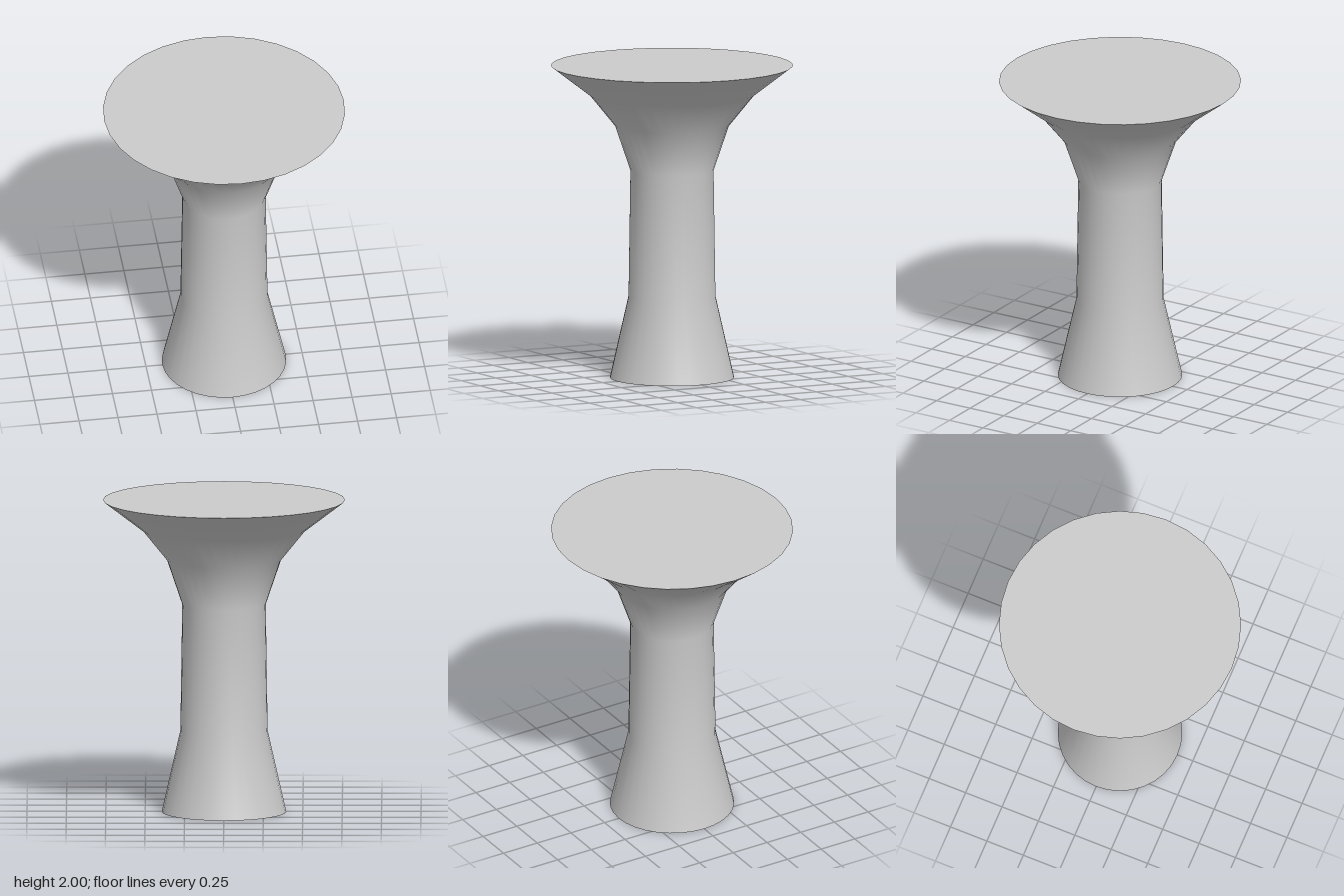
import * as THREE from 'three';

const SIDES = 32;

export function createModel() {
  const group = new THREE.Group();
  group.name = 'pedestal';
  const material = new THREE.MeshStandardMaterial({ color: 0xcccccc, side: THREE.DoubleSide });

  // Flared column, hollow and open at the foot
  const profile = [
    [0.395, 0], [0.277, 0.52], [0.265, 1.33], [0.362, 1.615], [0.52, 1.81], [0.768, 2],
  ].map(([r, y]) => new THREE.Vector2(r, y));
  const column = new THREE.Mesh(new THREE.LatheGeometry(profile, SIDES), material);
  column.name = 'column';

  // Flat disc closing the wide top
  const top = new THREE.Mesh(new THREE.CircleGeometry(0.768, SIDES).rotateX(-Math.PI / 2), material);
  top.name = 'top';
  top.position.y = 2;

  group.add(column, top);
  return group;
}
